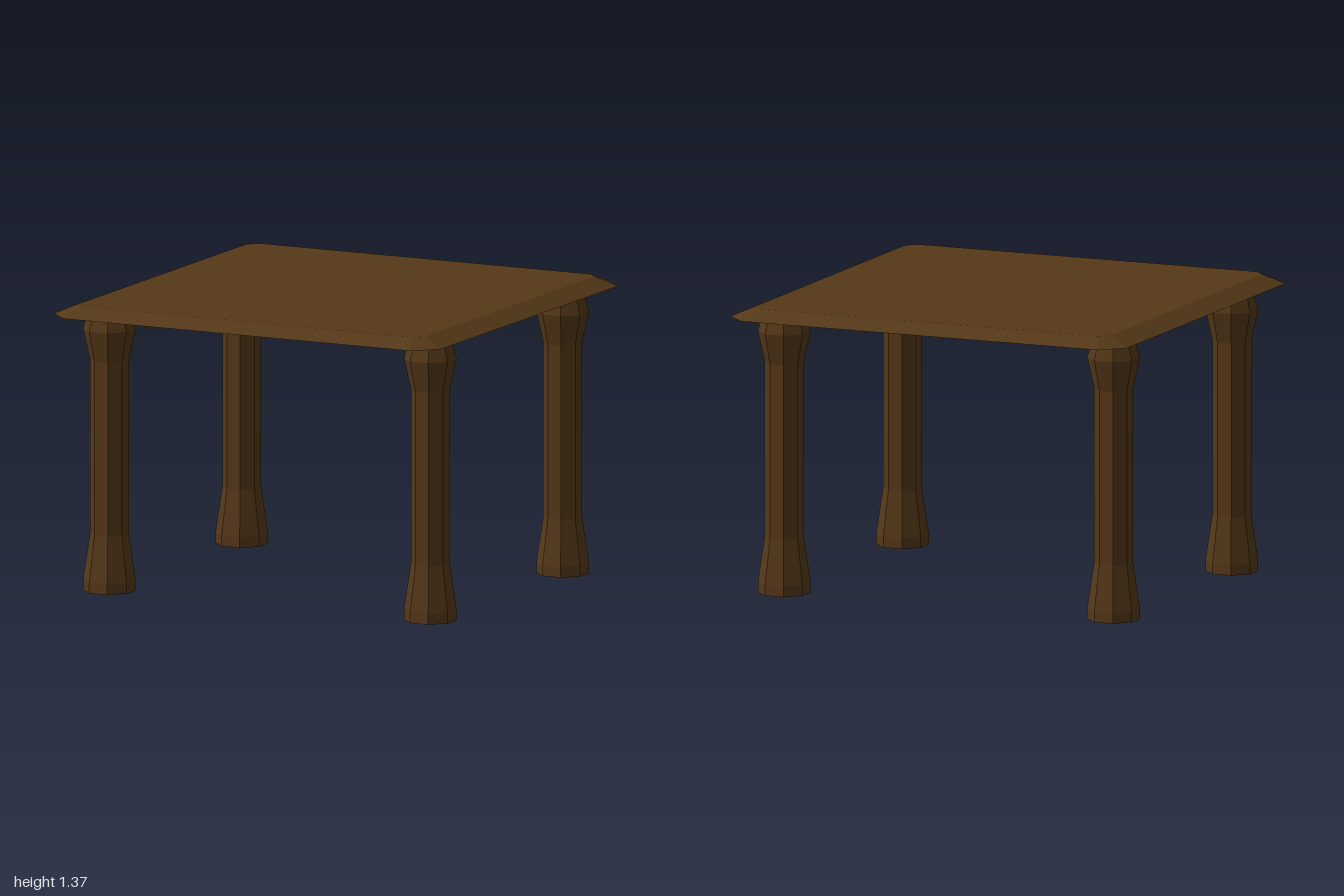
import * as THREE from 'three';

export function createModel() {
  const model = new THREE.Group();
  model.name = 'table';
  const wood = new THREE.MeshStandardMaterial({ color: 0x553818, flatShading: true });

  // Tabletop: a square slab with cut corners, narrowing towards the top
  const baseY = 1.32, thickness = 0.045;
  const outline = [[1, 0.9], [0.9, 1], [-0.9, 1], [-1, 0.9], [-1, -0.9], [-0.9, -1], [0.9, -1], [1, -0.9]];
  const shape = new THREE.Shape(outline.map(([x, y]) => new THREE.Vector2(x, y)));
  const slab = new THREE.ExtrudeGeometry(shape, { depth: thickness, bevelEnabled: false });
  const pos = slab.attributes.position;
  const inset = (v) => Math.sign(v) * (Math.abs(v) > 0.95 ? 0.9 : 0.855);
  for (let i = 0; i < pos.count; i++) {
    if (pos.getZ(i) > thickness / 2) pos.setXY(i, inset(pos.getX(i)), inset(pos.getY(i)));
  }
  slab.rotateX(-Math.PI / 2);
  slab.computeVertexNormals();
  const top = new THREE.Mesh(slab, wood);
  top.name = 'tabletop';
  top.position.y = baseY;
  model.add(top);

  // Legs: eight-sided posts with a flared foot and head; widths are across the flats
  const profile = [[0, 0], [0.1125, 0], [0.1125, 0.05], [0.083, 0.265], [0.083, 1.08],
    [0.1125, 1.225], [0.089, baseY], [0, baseY]];
  const points = profile.map(([r, y]) => new THREE.Vector2(r / Math.cos(Math.PI / 8), y));
  const legGeometry = new THREE.LatheGeometry(points, 8, Math.PI / 8).toNonIndexed();
  legGeometry.computeVertexNormals();
  for (const [x, side] of [[0.83, 'Left'], [-0.83, 'Right']]) {
    for (const [z, end] of [[0.67, 'front'], [-0.67, 'back']]) {
      const leg = new THREE.Mesh(legGeometry, wood);
      leg.name = `${end}${side}Leg`;
      leg.position.set(x, 0, z);
      model.add(leg);
    }
  }
  return model;
}
